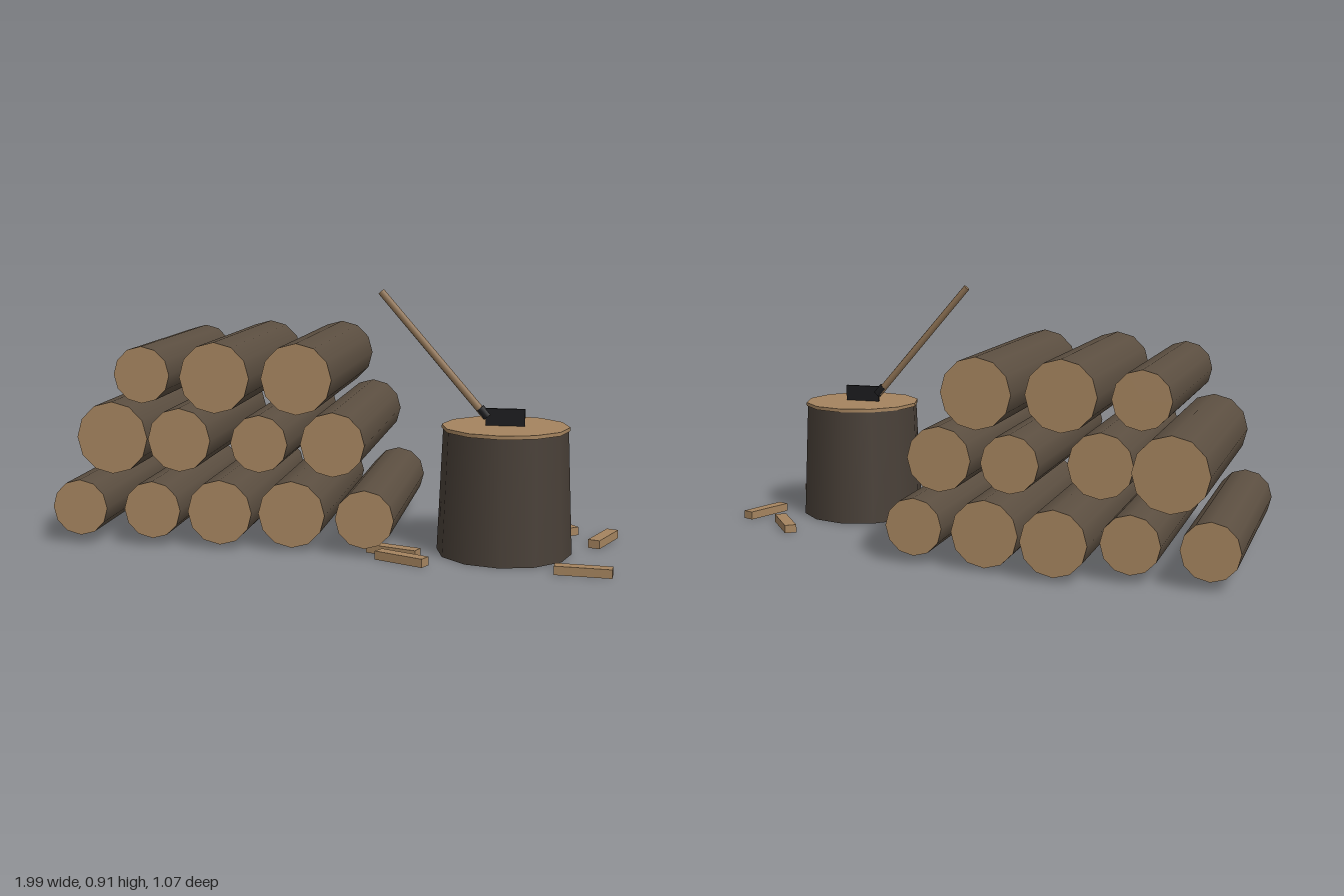
import * as THREE from 'three';

const mat = (color) => new THREE.MeshStandardMaterial({ color, roughness: 0.9 });
const bark = mat(0x5c4f41);
const stumpBark = mat(0x483f37);
const cutWood = mat(0xa5845f);
const handleWood = mat(0x8f7355);
const iron = mat(0x1c1c1e);

function add(parent, name, geometry, material, x = 0, y = 0, z = 0) {
  const mesh = new THREE.Mesh(geometry, material);
  mesh.name = name;
  mesh.position.set(x, y, z);
  parent.add(mesh);
  return mesh;
}

// Log lying along z: bark body with two cut end faces
function makeLog(x, y, radius, back, front) {
  const log = new THREE.Group();
  log.name = 'log';
  const body = new THREE.CylinderGeometry(radius, radius, front - back, 12, 1, true).rotateX(Math.PI / 2);
  add(log, 'logBark', body, bark);
  const half = (front - back) / 2;
  const face = new THREE.CircleGeometry(radius, 12);
  add(log, 'logFrontEnd', face, cutWood, 0, 0, half);
  add(log, 'logBackEnd', face, cutWood, 0, 0, -half).rotation.y = Math.PI;
  log.position.set(x, y, (front + back) / 2);
  return log;
}

export function createModel() {
  const model = new THREE.Group();
  model.name = 'choppingBlockAndWoodpile';

  // Woodpile: x, y, radius, back z, front z
  const pile = new THREE.Group();
  pile.name = 'woodpile';
  model.add(pile);
  [
    [-0.90, 0.13, 0.10, -0.49, 0.375],
    [-0.635, 0.13, 0.102, -0.48, 0.37],
    [-0.39, 0.13, 0.115, -0.54, 0.37],
    [-0.135, 0.13, 0.118, -0.485, 0.36],
    [0.128, 0.13, 0.102, -0.46, 0.395],
    [-0.775, 0.385, 0.128, -0.54, 0.375],
    [-0.53, 0.385, 0.112, -0.47, 0.38],
    [-0.237, 0.385, 0.10, -0.53, 0.41],
    [0.015, 0.385, 0.112, -0.515, 0.385],
    [-0.665, 0.61, 0.10, -0.475, 0.37],
    [-0.393, 0.61, 0.123, -0.465, 0.41],
    [-0.108, 0.61, 0.123, -0.495, 0.398],
  ].forEach((spec) => pile.add(makeLog(...spec)));

  // Chopping block
  const block = new THREE.Group();
  block.name = 'choppingBlock';
  block.position.set(0.595, 0, 0.232);
  model.add(block);
  add(block, 'stump', new THREE.CylinderGeometry(0.216, 0.235, 0.433, 12), stumpBark, 0, 0.2165, 0);
  add(block, 'stumpTop', new THREE.CylinderGeometry(0.221, 0.221, 0.013, 12), cutWood, 0, 0.4385, 0);

  // Axe stuck in the block
  const axe = new THREE.Group();
  axe.name = 'axe';
  axe.position.z = 0.235;
  model.add(axe);
  const foot = new THREE.Vector3(0.525, 0.478, 0);
  const tip = new THREE.Vector3(0.16, 0.902, 0);
  const along = tip.clone().sub(foot);
  const tilt = Math.atan2(-along.x, along.y);
  const mid = foot.clone().lerp(tip, 0.5);
  const handle = add(axe, 'axeHandle', new THREE.CylinderGeometry(0.0125, 0.0135, along.length(), 8), handleWood, mid.x, mid.y, 0);
  handle.rotation.z = tilt;
  const collar = add(axe, 'axeCollar', new THREE.CylinderGeometry(0.016, 0.016, 0.04, 8), iron, 0.519, 0.489, 0);
  collar.rotation.z = tilt;
  add(axe, 'axeBlade', new THREE.BoxGeometry(0.135, 0.062, 0.012), iron, 0.594, 0.473, 0);

  // Split chips on the ground: x, z, direction dx, dz
  const chipGeometry = new THREE.BoxGeometry(0.19, 0.03, 0.043);
  [
    [0.775, -0.118, 21, 28],
    [0.938, 0.048, 12, -32],
    [0.873, 0.503, 36, 3],
    [0.264, 0.444, 33, 16],
    [0.222, 0.345, 33, 12],
  ].forEach(([x, z, dx, dz]) => {
    add(model, 'woodChip', chipGeometry, cutWood, x, 0.015, z).rotation.y = -Math.atan2(dz, dx);
  });

  return model;
}
